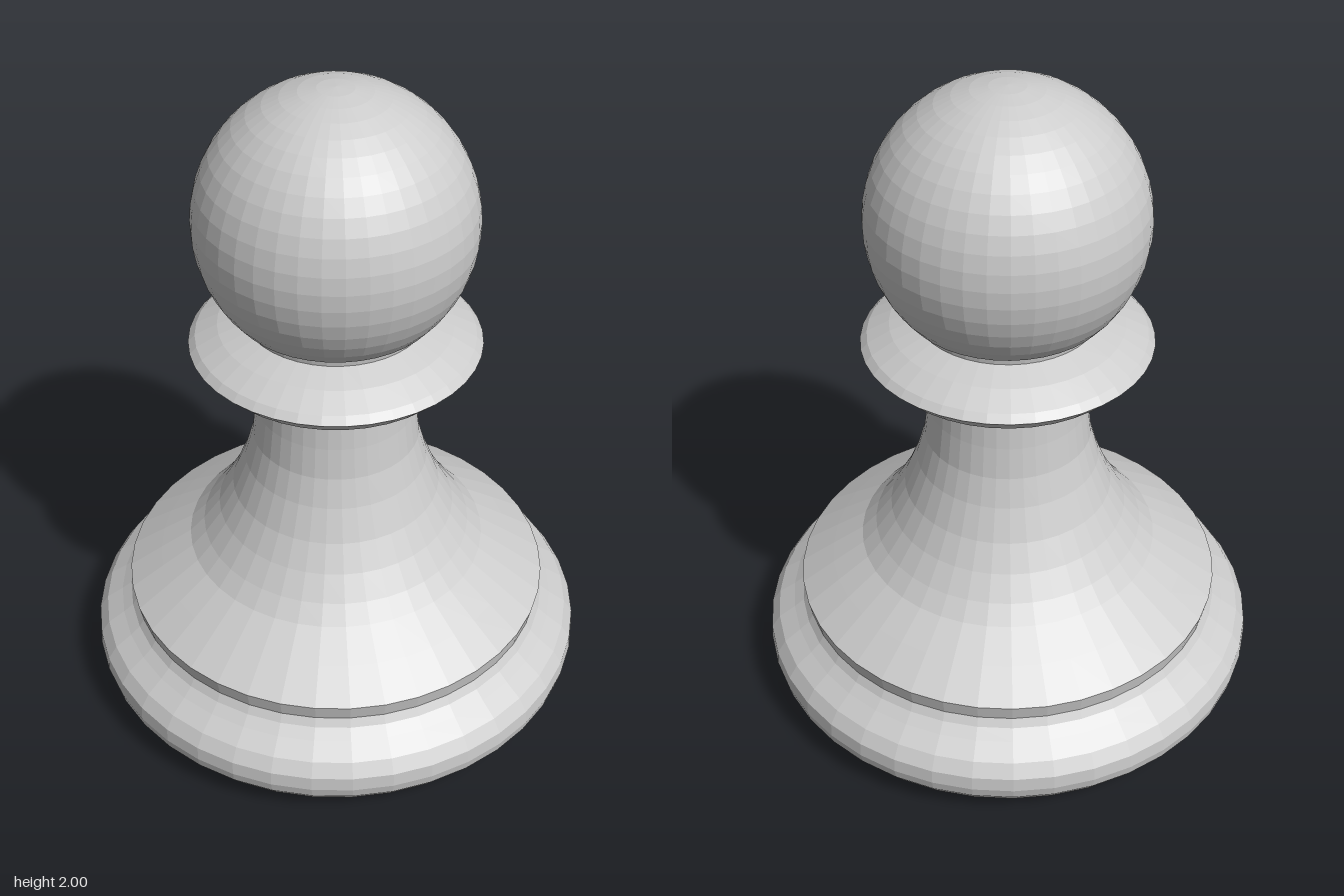
import * as THREE from 'three';

const SIDES = 40;

export function createModel() {
  const group = new THREE.Group();
  const grey = new THREE.MeshStandardMaterial({ color: 0xcccccc });
  grey.name = 'lightGrey';

  // Turn a [radius, height] profile, listed bottom to top, into a faceted solid
  const turn = (name, profile) => {
    const points = profile.map(([r, y]) => new THREE.Vector2(r, y));
    const geometry = new THREE.LatheGeometry(points, SIDES).toNonIndexed();
    geometry.computeVertexNormals();
    const mesh = new THREE.Mesh(geometry, grey);
    mesh.name = name;
    group.add(mesh);
  };

  // Rounded foot with a closed underside, up to the groove
  turn('base', [
    [0, 0], [0.665, 0], [0.69, 0.045], [0.725, 0.055], [0.757, 0.1], [0.765, 0.135],
    [0.762, 0.18], [0.735, 0.22], [0.685, 0.255], [0.655, 0.28], [0.64, 0.305],
  ]);

  // Raised band and the flared stem above it
  turn('stem', [
    [0.64, 0.305], [0.65, 0.355], [0.55, 0.425], [0.455, 0.49], [0.41, 0.54], [0.36, 0.61],
    [0.315, 0.69], [0.275, 0.79], [0.25, 0.88], [0.238, 0.98], [0.232, 1.06], [0.225, 1.13],
  ]);

  // Thin flared collar and short neck under the head
  turn('collar', [
    [0.225, 1.13], [0.3, 1.135], [0.38, 1.165], [0.425, 1.212], [0.405, 1.233],
    [0.34, 1.268], [0.265, 1.295], [0.27, 1.33], [0.295, 1.33],
  ]);

  // Ball head, cut where it meets the neck
  const head = [];
  const start = -Math.asin(0.27 / 0.4);
  for (let i = 0; i <= 18; i++) {
    const a = start + (Math.PI / 2 - start) * (i / 18);
    head.push([i === 18 ? 0 : 0.4 * Math.cos(a), 1.6 + 0.4 * Math.sin(a)]);
  }
  turn('head', head);

  return group;
}
